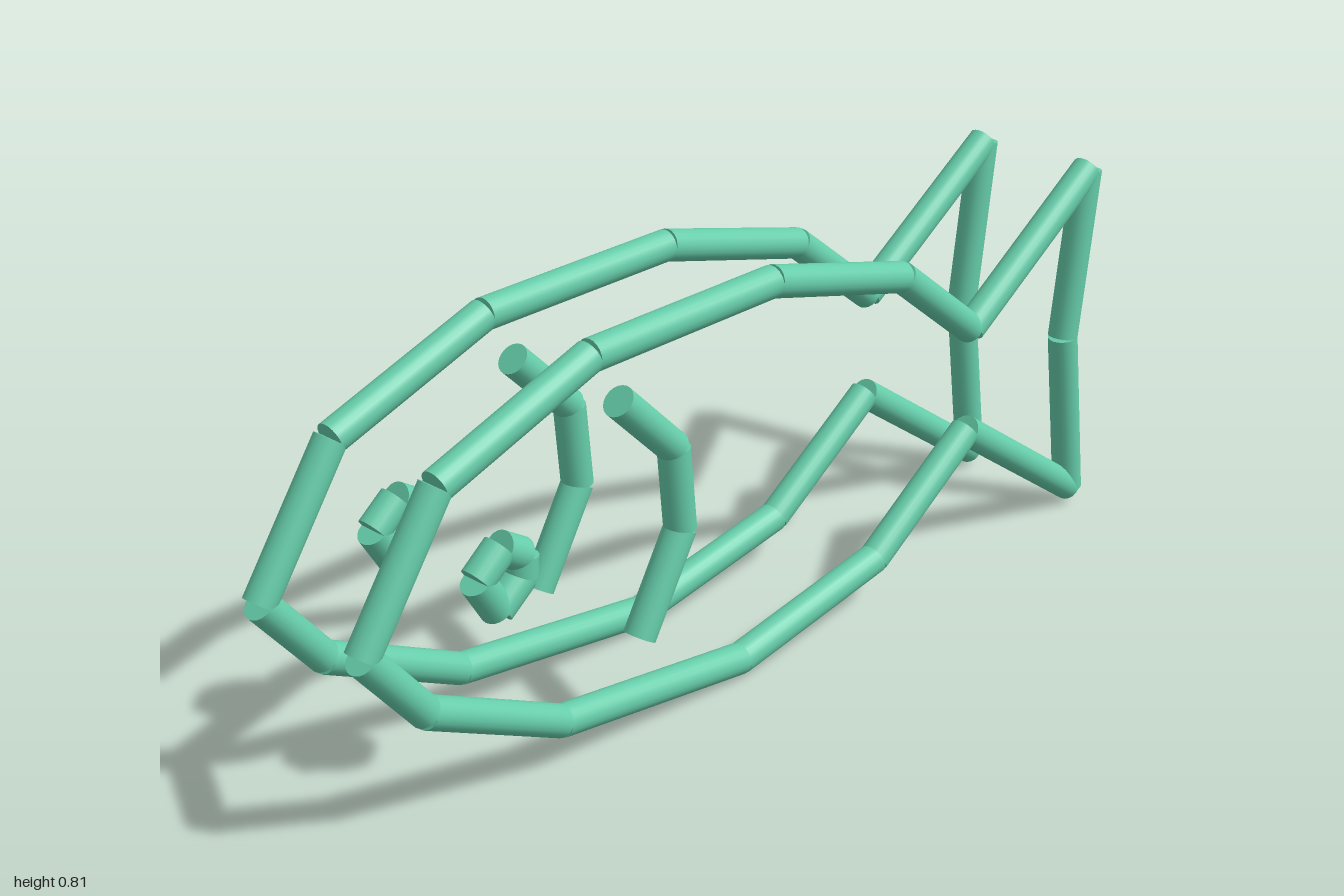
import * as THREE from 'three';

const RADIUS = 0.031;
const SIDE_Z = 0.135;

// Polylines in the x-y plane; each edge becomes one straight rod
const outline = [
  [-0.972, 0.4], [-0.8, 0.65], [-0.45, 0.773], [0.005, 0.779], [0.374, 0.684], [0.594, 0.513],
  [0.963, 0.757], [0.914, 0.4], [0.963, 0.035],
  [0.594, 0.289], [0.315, 0.1], [-0.075, 0.032], [-0.54, 0.096], [-0.845, 0.246], [-0.972, 0.4],
];
const gill = [[-0.385, 0.668], [-0.25, 0.535], [-0.235, 0.37], [-0.342, 0.187]];
const eye = [
  [-0.722, 0.447], [-0.668, 0.49], [-0.62, 0.46], [-0.623, 0.42], [-0.679, 0.377], [-0.722, 0.447],
];

export function createModel() {
  const material = new THREE.MeshStandardMaterial({ color: 0x66cdaa });
  material.name = 'aquamarine';
  const up = new THREE.Vector3(0, 1, 0);

  function rod([x1, y1], [x2, y2], name) {
    const a = new THREE.Vector3(x1, y1, 0);
    const b = new THREE.Vector3(x2, y2, 0);
    const d = b.clone().sub(a);
    const mesh = new THREE.Mesh(new THREE.CylinderGeometry(RADIUS, RADIUS, d.length(), 20), material);
    mesh.position.copy(a).add(b).multiplyScalar(0.5);
    mesh.quaternion.setFromUnitVectors(up, d.normalize());
    mesh.name = name;
    return mesh;
  }

  function rodChain(points, name) {
    const group = new THREE.Group();
    group.name = name;
    for (let i = 1; i < points.length; i++) {
      group.add(rod(points[i - 1], points[i], name + 'Rod'));
    }
    return group;
  }

  // Two identical fish frames, front and back
  const model = new THREE.Group();
  model.name = 'fishFrame';
  for (const s of [1, -1]) {
    const side = new THREE.Group();
    side.name = s > 0 ? 'frontFish' : 'backFish';
    side.position.z = s * SIDE_Z;
    side.add(rodChain(outline, 'outline'), rodChain(gill, 'gill'), rodChain(eye, 'eye'));
    model.add(side);
  }
  return model;
}
